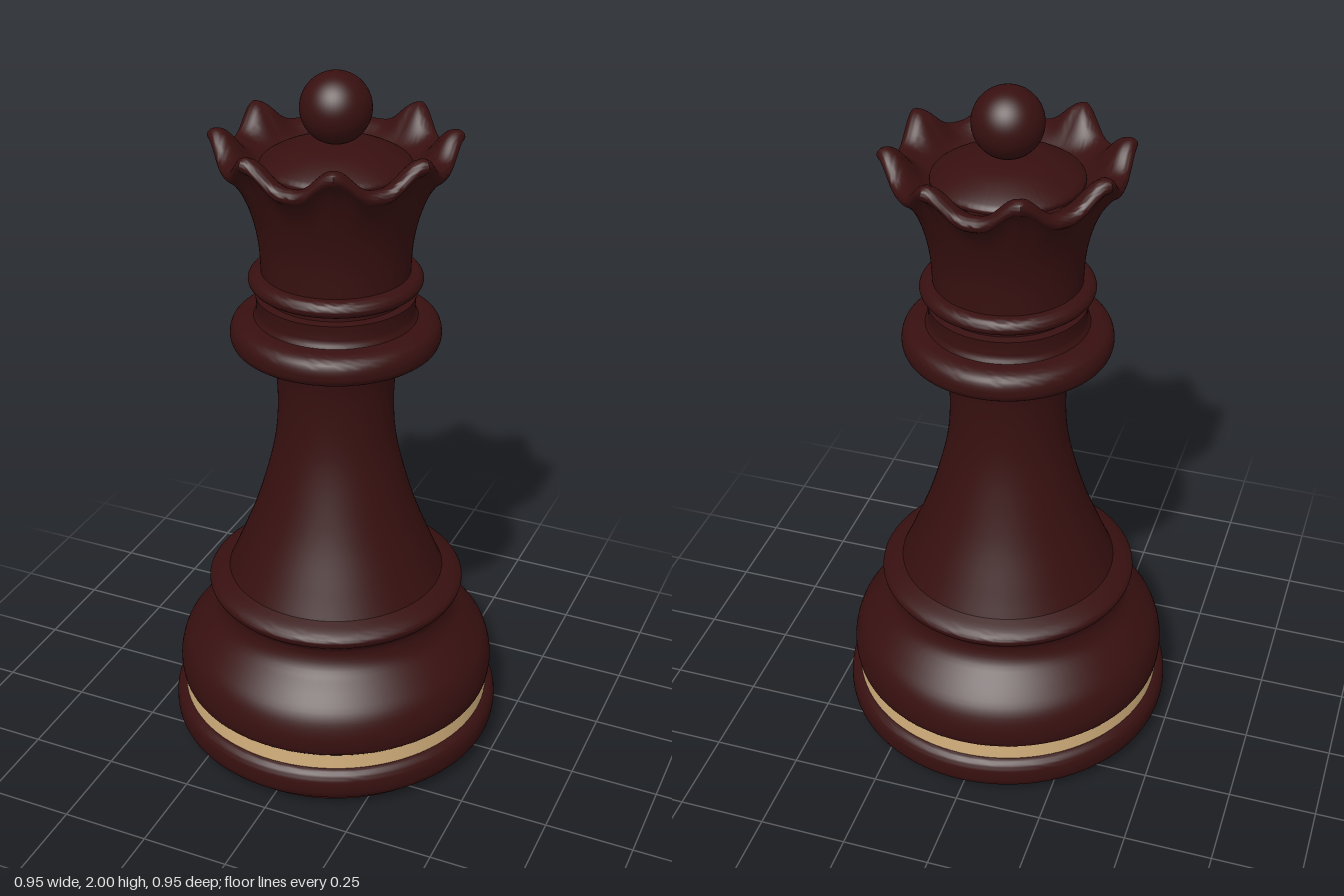
import * as THREE from 'three';
import { toCreasedNormals } from 'three/addons/utils/BufferGeometryUtils.js';

const SEGMENTS = 96;

// Joins smooth curves, leaving an edge wherever one section meets the next
function profile(...sections) {
  const out = [];
  for (const s of sections) {
    const pts = s.map(([r, y]) => new THREE.Vector2(r, y));
    const smooth = pts.length > 2 ? new THREE.SplineCurve(pts).getPoints((pts.length - 1) * 4) : pts;
    for (const p of smooth) {
      p.x = Math.max(p.x, 0);
      if (!out.length || out[out.length - 1].distanceTo(p) > 1e-5) out.push(p);
    }
  }
  return out;
}

export function createModel() {
  const group = new THREE.Group();
  const wood = new THREE.MeshStandardMaterial({ color: 0x381010 });
  wood.name = 'dark red wood';
  const gold = new THREE.MeshStandardMaterial({ color: 0xd6b27e });
  gold.name = 'pale gold';

  const add = (name, geometry, material) => {
    const mesh = new THREE.Mesh(geometry, material);
    mesh.name = name;
    group.add(mesh);
    return mesh;
  };
  const turn = (name, material, ...sections) =>
    add(name, toCreasedNormals(new THREE.LatheGeometry(profile(...sections), SEGMENTS), 0.7), material);

  // Foot with its rounded lower ring
  turn('foot', wood,
    [[0, 0], [0.42, 0]],
    [[0.42, 0], [0.42, 0.028]],
    [[0.42, 0.028], [0.45, 0.033], [0.47, 0.05], [0.477, 0.08], [0.474, 0.112], [0.46, 0.13], [0.445, 0.135]]);

  // Inlaid band
  turn('goldBand', gold, [[0.449, 0.134], [0.449, 0.181]]);

  // Bulging base and its upper lip
  turn('base', wood,
    [[0.445, 0.18], [0.455, 0.19], [0.459, 0.24], [0.442, 0.3], [0.4, 0.35], [0.352, 0.395],
      [0.336, 0.435], [0.34, 0.462], [0.36, 0.482], [0.366, 0.503], [0.345, 0.52], [0.308, 0.535]]);

  // Tapering stem
  turn('stem', wood,
    [[0.308, 0.535], [0.28, 0.6], [0.232, 0.72], [0.195, 0.84], [0.17, 0.95], [0.161, 1.05], [0.164, 1.15], [0.182, 1.24]]);

  // Wide collar
  turn('collar', wood,
    [[0.175, 1.236], [0.255, 1.24]],
    [[0.255, 1.24], [0.279, 1.254], [0.287, 1.28], [0.279, 1.31], [0.255, 1.325], [0.222, 1.33]],
    [[0.222, 1.33], [0.214, 1.35], [0.216, 1.392]],
    [[0.216, 1.392], [0.195, 1.396]],
    [[0.195, 1.396], [0.195, 1.416]]);

  // Narrow collar
  turn('upperRing', wood,
    [[0.19, 1.415], [0.222, 1.418], [0.235, 1.437], [0.224, 1.456], [0.2, 1.462]]);

  // Crown: a turned cup whose rim becomes an octagon with eight raised points
  const cup = new THREE.LatheGeometry(profile(
    [[0.2, 1.455], [0.205, 1.54], [0.221, 1.62], [0.248, 1.69], [0.278, 1.735], [0.3, 1.753],
      [0.305, 1.77], [0.293, 1.784], [0.268, 1.781], [0.235, 1.765], [0.2, 1.75]],
    [[0.2, 1.75], [0.195, 1.765], [0.15, 1.79], [0.09, 1.81], [0, 1.82]]), SEGMENTS * 2);
  const pos = cup.attributes.position;
  for (let i = 0; i < pos.count; i++) {
    const x = pos.getX(i), y = pos.getY(i), z = pos.getZ(i);
    const r = Math.hypot(x, z);
    const weight = THREE.MathUtils.smoothstep(y, 1.62, 1.76) * THREE.MathUtils.smoothstep(r, 0.205, 0.275);
    const angle = Math.atan2(x, z);
    const offset = angle - Math.round(angle / (Math.PI / 4)) * Math.PI / 4;
    const point = Math.pow((1 - Math.cos(8 * angle)) / 2, 1.5);
    const scale = 1 + weight * (1 / Math.cos(offset) - 1);
    pos.setXYZ(i, x * scale, y + weight * point * 0.064, z * scale);
  }
  add('crown', toCreasedNormals(cup, 0.8), wood);

  // Ball on top
  add('finial', new THREE.SphereGeometry(0.094, 48, 32), wood).position.y = 1.906;

  return group;
}
